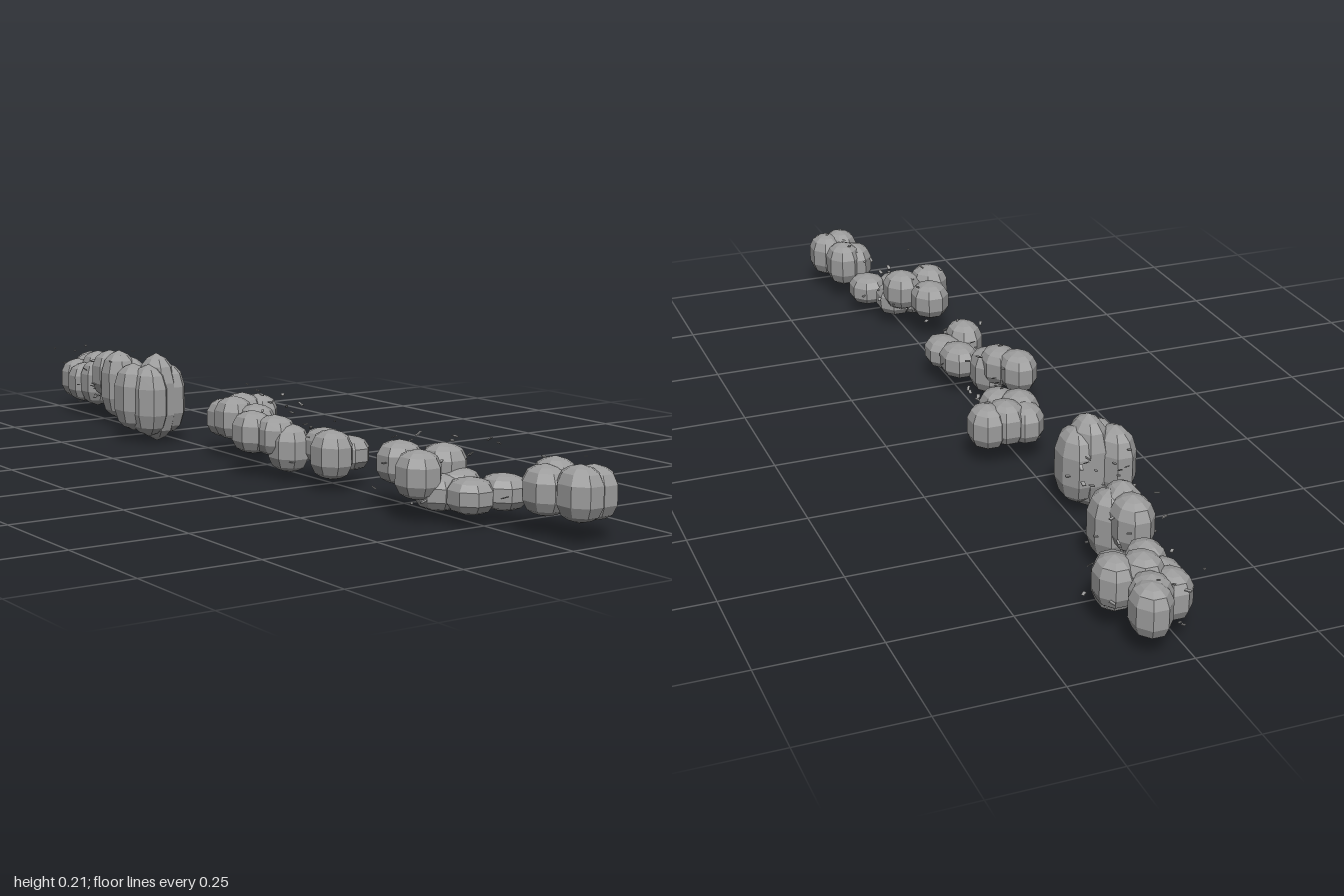
import * as THREE from 'three';
import { mergeGeometries } from 'three/addons/utils/BufferGeometryUtils.js';

// Small seeded generator for the scattered chips
let seed = 7;
const rand = () => {
  seed = (seed * 16807) % 2147483647;
  return seed / 2147483647;
};
const spread = (s) => (rand() - 0.5) * 2 * s;

// Faceted eight-sided boulder with unit radius, pointed poles and a tall middle band
function boulderGeometry() {
  const profile = [[0, -1], [0.5, -0.88], [0.8, -0.72], [1, -0.36], [1, 0.36], [0.8, 0.72], [0.5, 0.88], [0, 1]];
  return new THREE.LatheGeometry(profile.map(([r, y]) => new THREE.Vector2(r, y)), 8, Math.PI / 8);
}

// Tiny flat chips scattered around a centre
function chipGeometry(count, x, z, sx, sz) {
  const chips = [];
  for (let i = 0; i < count; i++) {
    const g = new THREE.BoxGeometry(0.006 + rand() * 0.009, 0.002, 0.004 + rand() * 0.004);
    g.rotateZ(spread(0.7));
    g.rotateY(spread(Math.PI));
    g.translate(x + spread(sx), 0.1 + spread(0.065), z + spread(sz));
    chips.push(g);
  }
  return mergeGeometries(chips);
}

export function createModel() {
  const model = new THREE.Group();
  model.name = 'boulderTrail';
  const stone = new THREE.MeshStandardMaterial({ color: 0x9c9c9c, flatShading: true });
  stone.name = 'grey stone';
  const boulder = boulderGeometry();

  // stones: [x, y, z, half height]; rx and rz are the shared half widths
  // chips: [count, x, z, spread x, spread z]
  function addClump(name, rx, rz, stones, chips) {
    const clump = new THREE.Group();
    clump.name = name;
    for (const [x, y, z, ry] of stones) {
      const mesh = new THREE.Mesh(boulder, stone);
      mesh.name = 'boulder';
      mesh.position.set(x, y, z);
      mesh.scale.set(rx, ry, rz);
      clump.add(mesh);
    }
    for (const c of chips) {
      const mesh = new THREE.Mesh(chipGeometry(...c), stone);
      mesh.name = 'stoneChips';
      clump.add(mesh);
    }
    model.add(clump);
  }

  addClump('frontClump', 0.042, 0.05, [
    [0.077, 0.09, 0.86, 0.055], [0.045, 0.085, 0.87, 0.05],
    [0.096, 0.088, 0.945, 0.053], [0.058, 0.09, 0.95, 0.055],
  ], [[16, 0.05, 0.87, 0.06, 0.06]]);

  addClump('secondClump', 0.045, 0.05, [
    [-0.043, 0.095, 0.54, 0.045], [-0.077, 0.09, 0.645, 0.05], [0, 0.095, 0.625, 0.048],
    [0.007, 0.06, 0.66, 0.04], [-0.04, 0.055, 0.66, 0.037],
    [-0.018, 0.057, 0.73, 0.037], [0.05, 0.06, 0.745, 0.037],
  ], [[18, -0.01, 0.63, 0.1, 0.08], [8, -0.04, 0.54, 0.055, 0.06]]);

  addClump('thirdClump', 0.042, 0.052, [
    [-0.09, 0.093, 0.08, 0.047], [-0.065, 0.09, 0.13, 0.045], [-0.05, 0.067, 0.16, 0.053],
    [0, 0.075, 0.22, 0.04], [0.012, 0.07, 0.29, 0.037], [-0.046, 0.075, 0.312, 0.053],
  ], [[12, -0.02, 0.09, 0.04, 0.06], [10, -0.02, 0.26, 0.065, 0.07]]);

  addClump('middleClump', 0.042, 0.05, [
    [-0.01, 0.085, -0.155, 0.045], [0.03, 0.09, -0.15, 0.05], [0.07, 0.085, -0.145, 0.05],
    [-0.015, 0.09, -0.115, 0.05], [0.012, 0.08, -0.065, 0.047],
  ], [[14, 0.02, -0.09, 0.07, 0.1]]);

  addClump('tallClump', 0.042, 0.058, [
    [-0.098, 0.105, -0.425, 0.08], [-0.05, 0.104, -0.4, 0.104],
    [-0.08, 0.1, -0.385, 0.085], [-0.025, 0.1, -0.4, 0.085],
  ], [[12, -0.035, -0.51, 0.045, 0.025], [8, -0.06, -0.44, 0.07, 0.05]]);

  addClump('sixthClump', 0.042, 0.052, [
    [-0.01, 0.12, -0.7, 0.06], [-0.012, 0.1, -0.65, 0.085], [0.012, 0.095, -0.645, 0.075],
  ], [[16, -0.01, -0.7, 0.065, 0.08]]);

  addClump('backClump', 0.04, 0.048, [
    [0.068, 0.09, -0.95, 0.055], [0.007, 0.085, -0.905, 0.05], [0.056, 0.095, -0.925, 0.05],
    [0.045, 0.105, -0.865, 0.052], [0.095, 0.1, -0.85, 0.053], [0.003, 0.08, -0.86, 0.05],
    [0.013, 0.085, -0.81, 0.06], [0.075, 0.07, -0.805, 0.06],
  ], [[24, 0.05, -0.87, 0.085, 0.11]]);

  return model;
}
